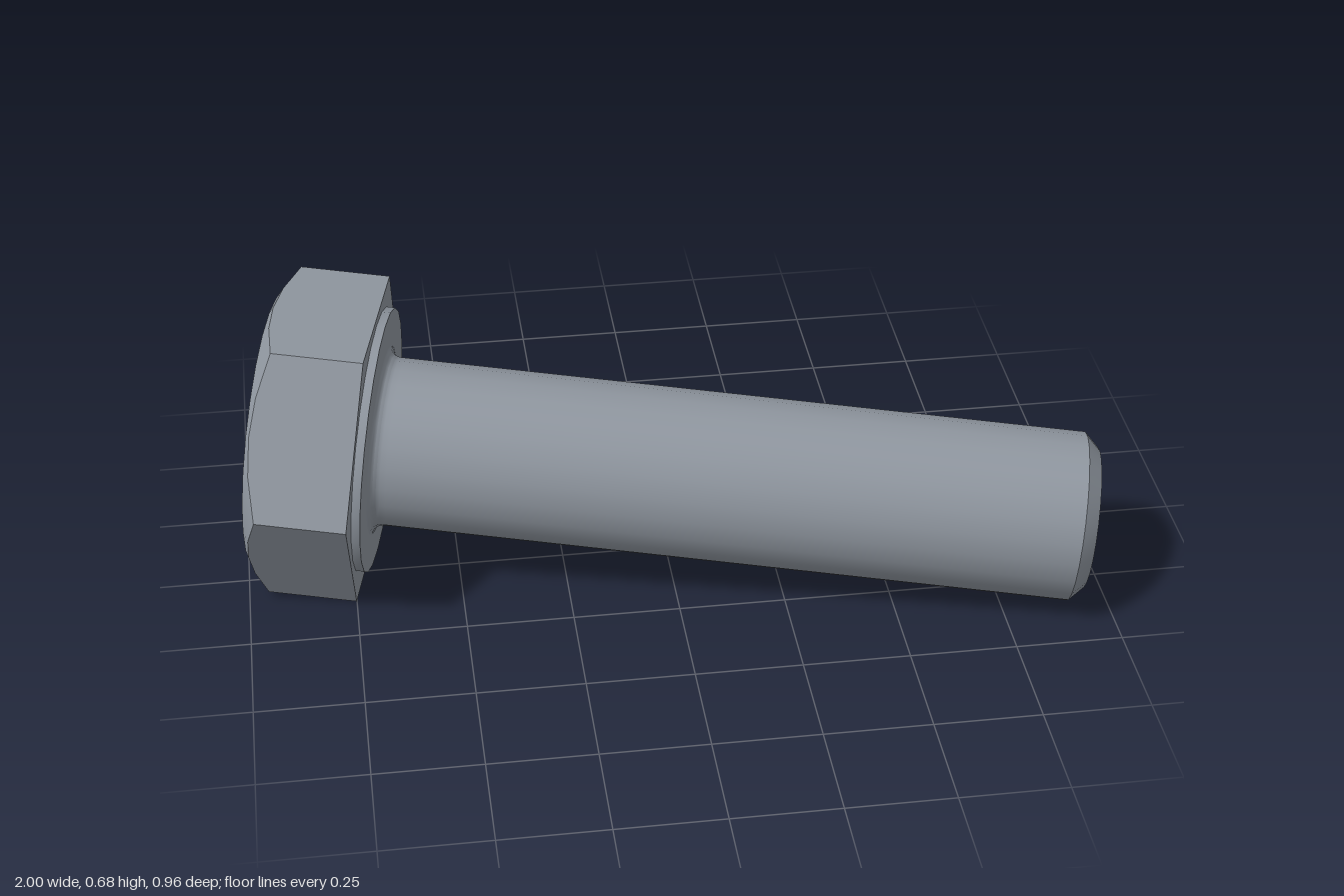
import * as THREE from 'three';
import { toCreasedNormals } from 'three/addons/utils/BufferGeometryUtils.js';

const SEGMENTS = 24;
const CREASE = 0.4;

// Surface of revolution around the bolt axis (local y)
function turned(points) {
  const profile = points.map(([r, y]) => new THREE.Vector2(r, y));
  return toCreasedNormals(new THREE.LatheGeometry(profile, SEGMENTS), CREASE);
}

// Hexagonal prism whose far end is cut by a 30 degree cone
function hexHead(apothem, underY, topY, topRadius) {
  const rings = [[], [], [], [], []];
  for (let i = 0; i <= SEGMENTS; i++) {
    const angle = (i / SEGMENTS) * Math.PI * 2;
    const fromFlat = (angle % (Math.PI / 3)) - Math.PI / 6;
    const radius = apothem / Math.cos(fromFlat);
    const chamferY = topY + (radius - topRadius) * Math.tan(Math.PI / 6);
    const at = (r, y) => [r * Math.cos(angle), y, r * Math.sin(angle)];
    rings[0].push(at(0, underY));
    rings[1].push(at(radius, underY));
    rings[2].push(at(radius, chamferY));
    rings[3].push(at(topRadius, topY));
    rings[4].push(at(0, topY));
  }
  const positions = [];
  for (let k = 0; k < 4; k++) {
    for (let i = 0; i < SEGMENTS; i++) {
      const a = rings[k][i], b = rings[k][i + 1];
      const c = rings[k + 1][i + 1], d = rings[k + 1][i];
      if (k < 3) positions.push(...a, ...c, ...d);
      if (k > 0) positions.push(...a, ...b, ...c);
    }
  }
  const geometry = new THREE.BufferGeometry();
  geometry.setAttribute('position', new THREE.Float32BufferAttribute(positions, 3));
  return toCreasedNormals(geometry, CREASE);
}

export function createModel() {
  const steel = new THREE.MeshStandardMaterial({ color: 0x8f969f });
  steel.name = 'steel';

  const bolt = new THREE.Group();
  bolt.name = 'hexBolt';
  const add = (name, geometry) => {
    const mesh = new THREE.Mesh(geometry, steel);
    mesh.name = name;
    bolt.add(mesh);
  };

  // Local y runs along the shank; y = 0 is the bearing face under the head
  const length = 1.67, shankRadius = 0.199, fillet = 0.026;

  // Shank: fillet at the head, straight body, chamfered tip
  const profile = [];
  for (let i = 0; i <= 5; i++) {
    const t = (i / 5) * Math.PI / 2;
    profile.push([shankRadius + fillet * (1 - Math.sin(t)), fillet * (1 - Math.cos(t))]);
  }
  profile.push(
    [shankRadius, 0.04],
    [shankRadius, length - 0.034],
    [0.165, length],
    [0, length],
  );
  add('shank', turned(profile));

  // Raised round bearing face
  add('washerFace', turned([[0.3135, -0.02], [0.3135, 0], [0.19, 0]]));

  // Hexagonal head with chamfered outer corners
  add('hexHead', hexHead(0.3335, -0.02, -0.268, 0.317));

  // Lay the bolt down: tilt slightly, with two flats of the head level
  const axis = new THREE.Vector3(1, -0.083, 0.214).normalize();
  const corner = new THREE.Vector3(-axis.z, 0, axis.x).normalize();
  const flat = new THREE.Vector3().crossVectors(corner, axis);
  bolt.quaternion.setFromRotationMatrix(new THREE.Matrix4().makeBasis(corner, axis, flat));
  bolt.position.set(0.963, 0.197, 0.288).addScaledVector(axis, -length);

  const model = new THREE.Group();
  model.name = 'model';
  model.add(bolt);
  return model;
}
